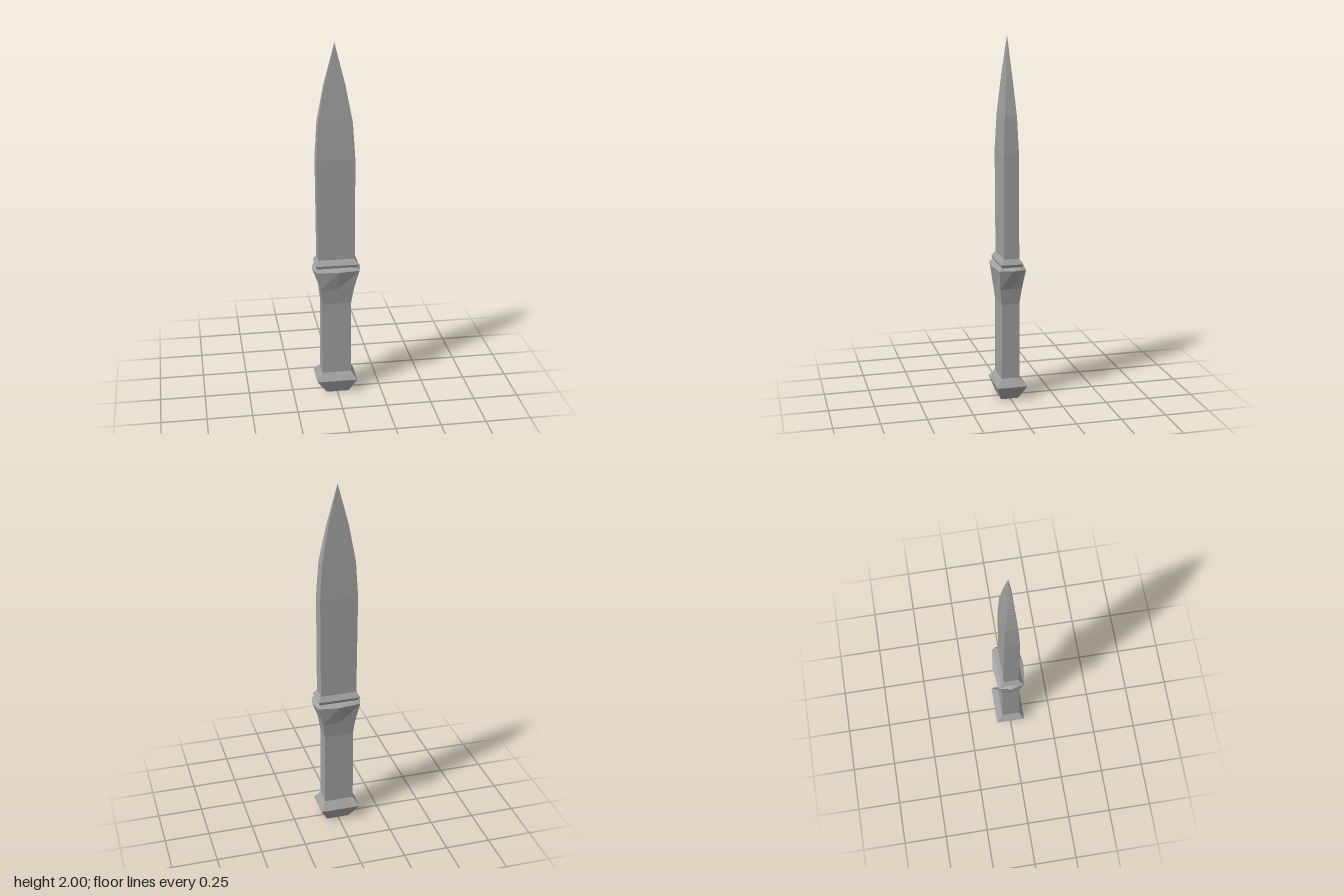
import * as THREE from 'three';

// One eight-point ring: a rectangle whose side midpoints can bulge outwards.
function ring([y, x0, x1, z0, z1, bulgeX = 0, bulgeZ = 0]) {
  const mx = (x0 + x1) / 2, mz = (z0 + z1) / 2;
  return [
    [x1 + bulgeX, mz], [x1, z0], [mx, z0 - bulgeZ], [x0, z0],
    [x0 - bulgeX, mz], [x0, z1], [mx, z1 + bulgeZ], [x1, z1],
  ].map(([x, z]) => [x, y, z]);
}

// Skin the rings from bottom to top, optionally closing the lowest one.
function loft(rows, capBottom = false) {
  const rings = rows.map(ring);
  const positions = [];
  const tri = (a, b, c) => positions.push(...a, ...b, ...c);
  for (let r = 0; r + 1 < rings.length; r++) {
    const low = rings[r], high = rings[r + 1];
    for (let i = 0; i < 8; i++) {
      const j = (i + 1) % 8;
      tri(low[i], low[j], high[j]);
      // Skip the collapsed half where the rings meet in a point
      if (rows[r + 1][1] !== rows[r + 1][2]) tri(low[i], high[j], high[i]);
    }
  }
  if (capBottom) {
    for (let i = 1; i < 7; i++) tri(rings[0][0], rings[0][i + 1], rings[0][i]);
  }
  const geometry = new THREE.BufferGeometry();
  geometry.setAttribute('position', new THREE.Float32BufferAttribute(positions, 3));
  geometry.computeVertexNormals();
  return geometry;
}

export function createModel() {
  const group = new THREE.Group();
  const steel = new THREE.MeshStandardMaterial({ color: 0xa0a0a0, flatShading: true });
  steel.name = 'grey steel';

  const add = (name, rows, capBottom) => {
    const mesh = new THREE.Mesh(loft(rows, capBottom), steel);
    mesh.name = name;
    group.add(mesh);
  };

  // Rows: y, left x, right x, back z, front z, side bulge, front bulge
  const gripBottom = [0.125, -0.087, 0.078, -0.05, 0.052];
  const gripTop = [0.55, -0.085, 0.077, -0.048, 0.05];
  const guardTop = [0.765, -0.112, 0.107, -0.055, 0.057];
  const bladeBase = [0.81, -0.105, 0.097, -0.042, 0.042];

  add('pommel', [
    [0, -0.061, 0.065, -0.047, 0.052],
    [0.08, -0.118, 0.11, -0.087, 0.081],
    gripBottom,
  ], true);

  add('grip', [gripBottom, gripTop]);

  // Flared guard with bowed sides
  add('guard', [
    gripTop,
    [0.64, -0.095, 0.09, -0.059, 0.062],
    [0.75, -0.119, 0.119, -0.074, 0.074, 0.016, 0.014],
    guardTop,
  ]);

  add('collar', [
    guardTop,
    [0.782, -0.122, 0.117, -0.061, 0.062],
    bladeBase,
  ]);

  add('blade', [
    bladeBase,
    [1.38, -0.111, 0.097, -0.039, 0.044],
    [1.58, -0.1, 0.084, -0.031, 0.035],
    [1.78, -0.065, 0.046, -0.016, 0.019],
    [2, -0.009, -0.009, 0, 0],
  ]);

  return group;
}
